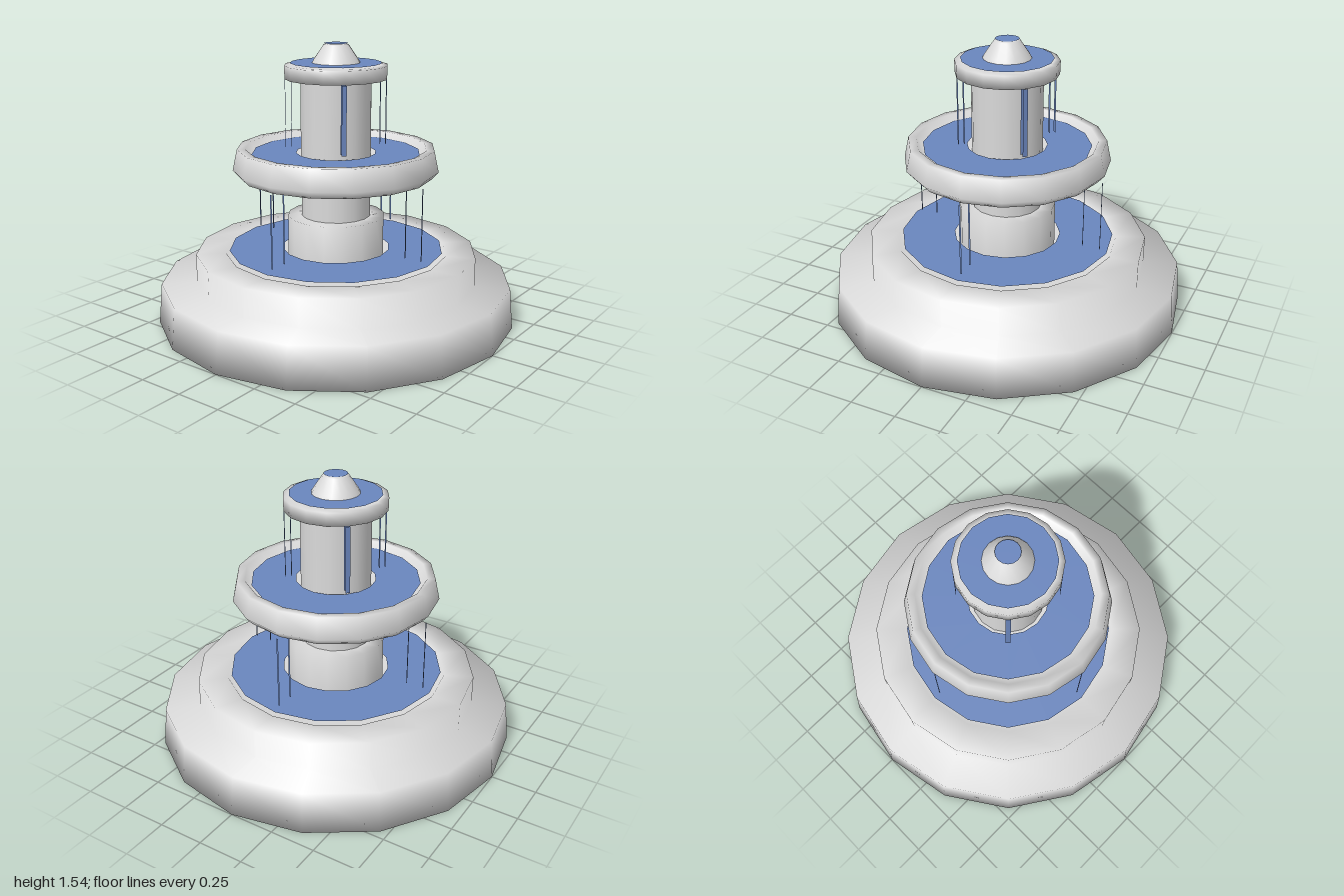
import * as THREE from 'three';

const SIDES = 16;

export function createModel() {
  const stone = new THREE.MeshStandardMaterial({ color: 0xdadada, side: THREE.DoubleSide });
  stone.name = 'pale stone';
  const water = new THREE.MeshStandardMaterial({ color: 0x6a86be, side: THREE.DoubleSide });
  water.name = 'blue water';

  const fountain = new THREE.Group();
  fountain.name = 'fountain';

  const add = (name, geometry, material, parent = fountain) => {
    const mesh = new THREE.Mesh(geometry, material);
    mesh.name = name;
    parent.add(mesh);
    return mesh;
  };

  // Turned stone part from [radius, height] points, listed from the underside up
  const turned = (name, points) =>
    add(name, new THREE.LatheGeometry(points.map(([r, y]) => new THREE.Vector2(r, y)), SIDES), stone);

  // Flat sheet of water, with a hole for the column
  const pool = (name, inner, outer, y) => {
    const geometry = inner > 0
      ? new THREE.RingGeometry(inner, outer, SIDES)
      : new THREE.CircleGeometry(outer, SIDES);
    geometry.rotateX(-Math.PI / 2).translate(0, y, 0);
    add(name, geometry, water);
  };

  // Four pairs of thin falling streams, facing outward
  const streams = (name, radii, bottom, top, width, turn) => {
    const group = new THREE.Group();
    group.name = name;
    fountain.add(group);
    for (let i = 0; i < 4; i++) {
      for (const r of radii) {
        const geometry = new THREE.PlaneGeometry(width, top - bottom);
        geometry.translate(0, (top + bottom) / 2, r).rotateY(turn + i * Math.PI / 2);
        add('stream', geometry, water, group);
      }
    }
  };

  // Stepped base with its sunken basin
  turned('base', [
    [0, 0], [1, 0], [0.98, 0.225], [0.785, 0.225], [0.785, 0.387],
    [0.62, 0.387], [0.57, 0.32], [0.2, 0.32],
  ]);
  turned('pedestal', [[0.27, 0.32], [0.27, 0.59], [0.19, 0.59]]);
  turned('lowerColumn', [[0.193, 0.58], [0.193, 0.83]]);

  // Middle bowl
  turned('middleBowl', [
    [0.15, 0.82], [0.535, 0.82], [0.57, 0.86], [0.545, 0.975],
    [0.5, 0.975], [0.45, 0.91], [0.15, 0.91],
  ]);
  turned('upperColumn', [[0.195, 0.9], [0.195, 1.36]]);

  // Top bowl and finial
  turned('topBowl', [
    [0.15, 1.35], [0.28, 1.352], [0.282, 1.425], [0.25, 1.428], [0.1, 1.425],
  ]);
  turned('finial', [[0.14, 1.42], [0.122, 1.455], [0.07, 1.532], [0.055, 1.537], [0, 1.537]]);

  // Water surfaces
  pool('basePool', 0.3, 0.6, 0.4);
  pool('middlePool', 0.22, 0.465, 0.945);
  pool('topPool', 0.12, 0.25, 1.437);
  pool('finialPool', 0, 0.065, 1.541);

  // Falling water
  streams('lowerStreams', [0.46, 0.56], 0.42, 0.82, 0.01, 0);
  streams('upperStreams', [0.245, 0.278], 0.98, 1.35, 0.026, Math.PI / 4);

  return fountain;
}
